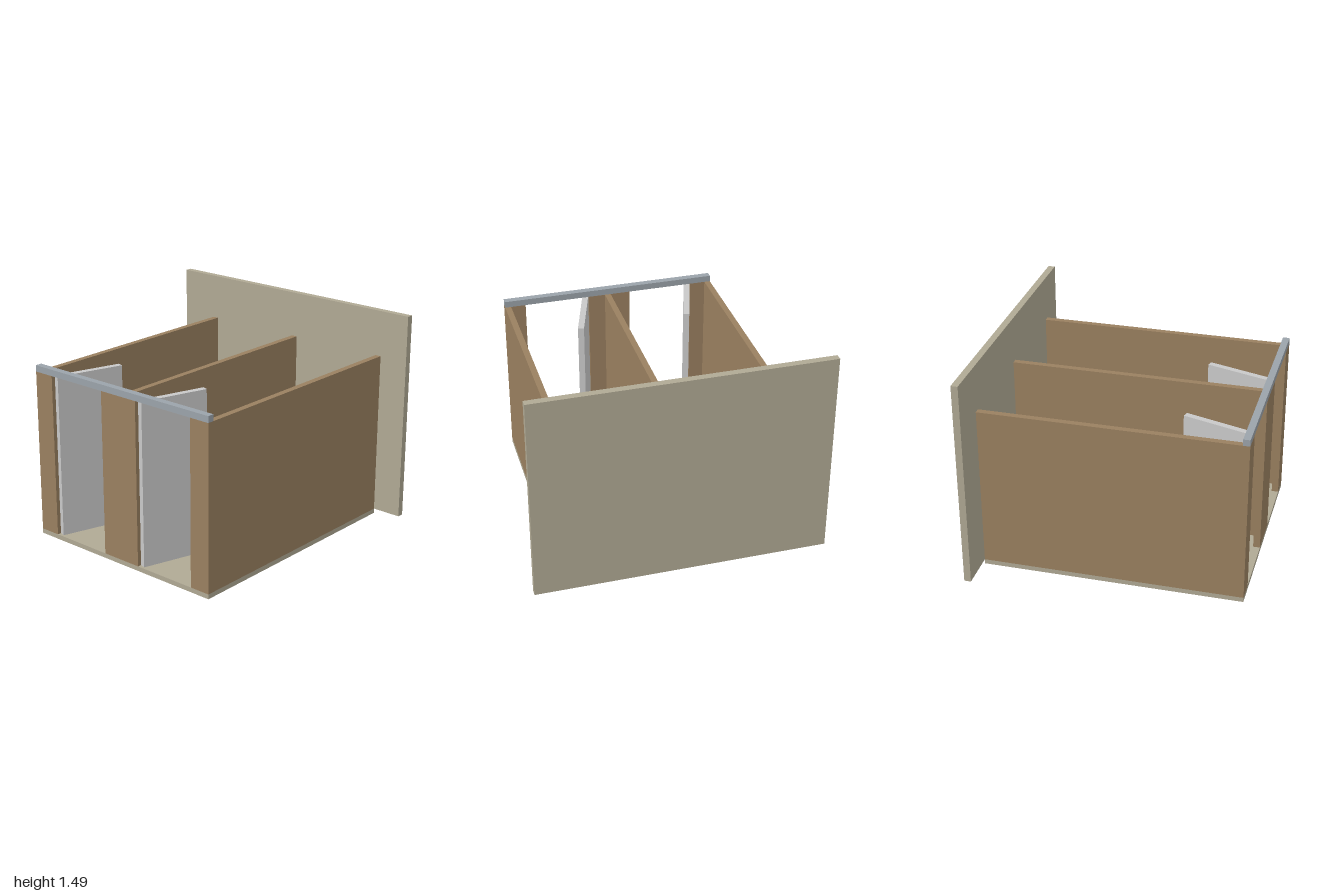
import * as THREE from 'three';

function material(name, color) {
  const m = new THREE.MeshStandardMaterial({ color });
  m.name = name;
  return m;
}

export function createModel() {
  const root = new THREE.Group();
  root.name = 'stallBlock';

  const plaster = material('beige plaster', 0xb0a994);
  const wood = material('brown panel', 0x9a8060);
  const steel = material('blue grey steel', 0x9ba3aa);
  const white = material('pale grey', 0xc8c8c8);
  const dark = material('dark metal', 0x4a4a4c);

  // Box given by its minimum and maximum on each axis
  function slab(name, mat, [x0, x1], [y0, y1], [z0, z1], parent = root) {
    const mesh = new THREE.Mesh(new THREE.BoxGeometry(x1 - x0, y1 - y0, z1 - z0), mat);
    mesh.position.set((x0 + x1) / 2, (y0 + y1) / 2, (z0 + z1) / 2);
    mesh.name = name;
    parent.add(mesh);
    return mesh;
  }

  const left = -0.728, right = 0.792;
  const floorTop = 0.033, top = 1.17, back = -0.871, front = 0.871, face = 0.918;

  // Shell: back wall, floor and the rail over the openings
  slab('backWall', plaster, [-1, 1], [floorTop, 1.488], [-0.918, back]);
  slab('floor', plaster, [left, right], [0, floorTop], [back, face]);
  slab('topRail', steel, [left, right], [top, 1.214], [front, face]);

  // Partitions between the stalls
  for (const x of [left, 0.022, 0.75]) {
    slab('partition', wood, [x, x + 0.042], [floorTop, top], [back, front]);
  }

  // Front panels beside the openings
  for (const span of [[left, -0.577], [-0.118, 0.183], [0.645, right]]) {
    slab('frontPanel', wood, span, [floorTop, top], [front, face]);
  }

  // Each stall has an inward opening door and a holder on the back wall
  for (const offset of [0, 0.76]) {
    const door = new THREE.Group();
    door.name = 'door';
    door.position.set(-0.577 + offset, 0, 0.89);
    door.rotation.y = -0.297;
    root.add(door);
    slab('doorLeaf', white, [0, 0.042], [floorTop, top], [-0.478, 0], door);

    // Door knob with a small latch beside it
    const knob = new THREE.Mesh(new THREE.CylinderGeometry(0.012, 0.012, 0.014, 16), dark);
    knob.name = 'knob';
    knob.rotation.z = Math.PI / 2;
    knob.position.set(0.049, 0.508, -0.37);
    door.add(knob);
    slab('latch', dark, [0.042, 0.056], [0.5, 0.522], [-0.424, -0.414], door);

    slab('holderPlate', white, [-0.43 + offset, -0.287 + offset], [0.606, 0.7], [back, back + 0.005]);
    slab('holderSlot', steel, [-0.41 + offset, -0.307 + offset], [0.621, 0.641], [back + 0.005, back + 0.008]);
  }

  return root;
}
